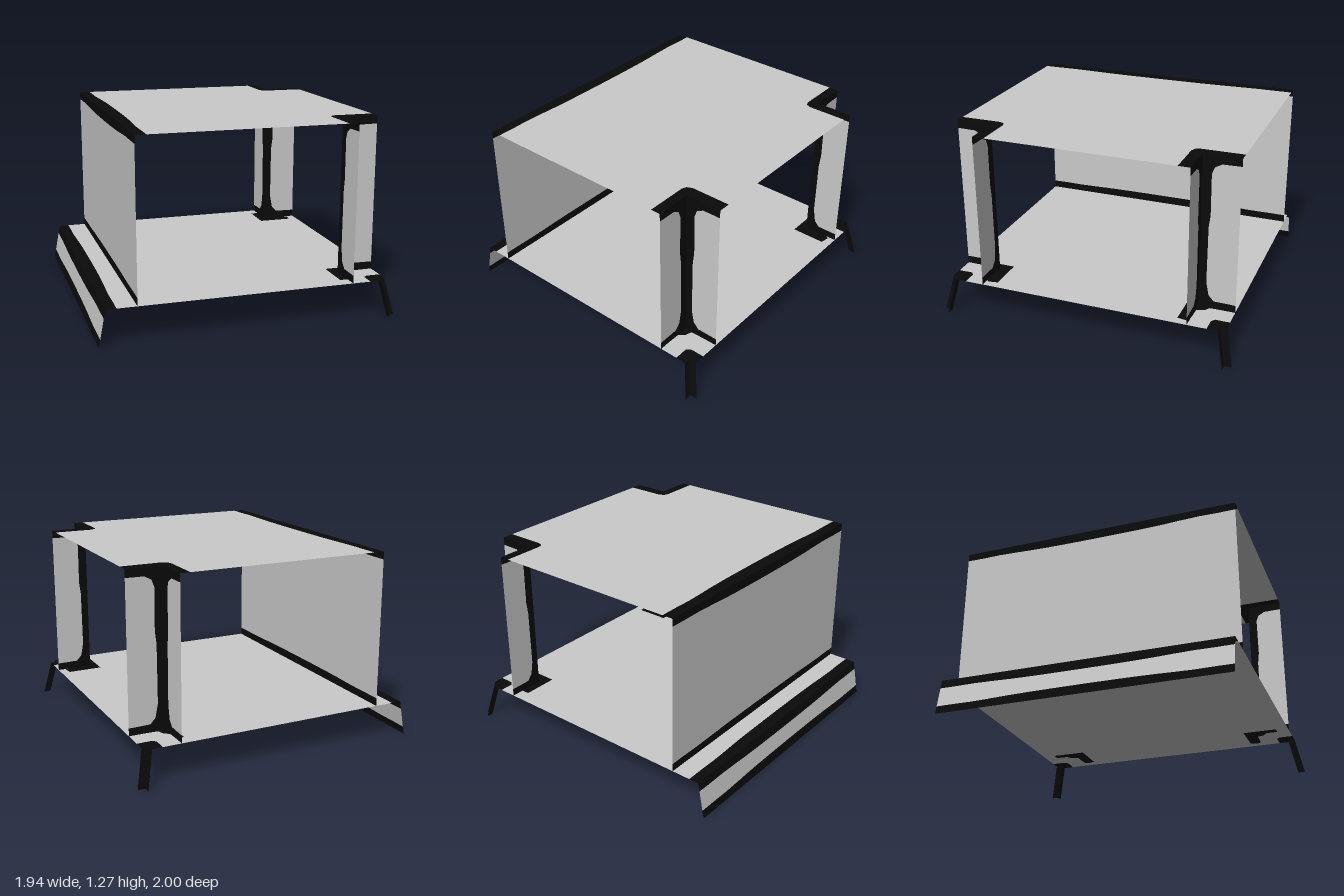
import * as THREE from 'three';

const grey = new THREE.MeshStandardMaterial({ name: 'light grey', color: 0xcacaca, side: THREE.DoubleSide });
const black = new THREE.MeshStandardMaterial({ name: 'black', color: 0x0a0a0a, side: THREE.DoubleSide });

// Main dimensions
const Z = 0.945, FLOOR = 0.24, ROOF = 1.275;
const WALL = -0.73, LEDGE = -0.925, SIDE = 0.92;
const POST_X = 0.678, POST_Z = 0.703;

const vec = (pts) => pts.map(([u, v]) => new THREE.Vector2(u, v));

// Thin flat sheet: a 2D outline (with holes) placed in space by the rule place(u, v)
function sheet(parent, name, mat, place, outline, holes = []) {
  const shape = new THREE.Shape(vec(outline));
  holes.forEach((h) => shape.holes.push(new THREE.Path(vec(h))));
  const geo = new THREE.ShapeGeometry(shape);
  const pos = geo.attributes.position;
  for (let i = 0; i < pos.count; i++) pos.setXYZ(i, ...place(pos.getX(i), pos.getY(i)));
  geo.computeVertexNormals();
  const mesh = new THREE.Mesh(geo, mat);
  mesh.name = name;
  parent.add(mesh);
}

// Slightly wavy line running along z, bulging by amp in the middle
function wavy(base, amp) {
  const pts = [];
  for (let i = 0; i <= 16; i++) {
    const t = i / 8 - 1;
    pts.push([base + amp * (Math.cos(t * Math.PI) * 0.5 + 0.5 + 0.15 * Math.sin(t * t * 9)), t * Z]);
  }
  return pts;
}

const flipZ = (pts) => pts.map(([x, z]) => [x, -z]);
const group = (parent, name) => {
  const g = new THREE.Group();
  g.name = name;
  parent.add(g);
  return g;
};

// Long panel along z with dark bands along its lower and upper edges
function bandedPanel(parent, name, place, lo, hi, loEdge, hiEdge) {
  const g = group(parent, name);
  sheet(g, name + 'Face', grey, place, [...loEdge, ...[...hiEdge].reverse()]);
  sheet(g, name + 'LowerBand', black, place, [[lo, -Z], [lo, Z], ...[...loEdge].reverse()]);
  sheet(g, name + 'UpperBand', black, place, [[hi, -Z], [hi, Z], ...[...hiEdge].reverse()]);
}

export function createModel() {
  const model = new THREE.Group();
  model.name = 'openBox';
  const atFloor = (x, z) => [x, FLOOR, z];
  const atRoof = (x, z) => [x, ROOF, z];

  // Floor sheet with dark ledge edge, post footprints and dark leg corners
  const floor = group(model, 'floor');
  const footprint = [
    [0.625, 0.625], [0.86, 0.625], [0.87, 0.69], [0.85, POST_Z], [0.73, POST_Z + 0.004],
    [0.715, 0.755], [0.68, 0.78], [POST_X, 0.86], [0.625, 0.86],
  ];
  const cornerIn = [[0.8, Z], [0.8, 0.85], [0.825, 0.83], [SIDE, 0.83]];
  const cornerPatch = [...cornerIn, [SIDE, 0.9], [0.87, 0.9], [0.87, Z]];
  const ledgeEdge = wavy(-0.858, 0.012);
  sheet(floor, 'floorFace', grey, atFloor,
    [...ledgeEdge, ...cornerIn, ...flipZ([...cornerIn].reverse())],
    [footprint, flipZ(footprint)]);
  sheet(floor, 'floorEdgeBand', black, atFloor,
    [[LEDGE, -Z], [LEDGE, Z], ...[...ledgeEdge].reverse()]);

  // Roof sheet with two notched corners and a dark band over the wall
  const roof = group(model, 'roof');
  const notchIn = [[0.613, Z], [0.613, 0.67], [0.625, 0.64], [0.66, 0.625], [SIDE, 0.625]];
  const notchBand = [...notchIn, [SIDE, POST_Z], [POST_X, POST_Z], [POST_X, Z]];
  const roofEdge = wavy(-0.66, 0.018);
  sheet(roof, 'roofFace', grey, atRoof,
    [...roofEdge, ...notchIn, ...flipZ([...notchIn].reverse())]);
  sheet(roof, 'roofEdgeBand', black, atRoof,
    [[WALL, -Z], [WALL, Z], ...[...roofEdge].reverse()]);

  // Upright wall and the flared skirt below the ledge
  bandedPanel(model, 'wall', (y, z) => [WALL, y, z], FLOOR, ROOF,
    wavy(0.292, 0.008), wavy(1.225, -0.015));
  bandedPanel(model, 'skirt', (y, z) => [LEDGE - 0.045 * (1 - y / FLOOR), y, z], 0, FLOOR,
    wavy(0.052, 0.012), wavy(0.185, -0.012));

  for (const s of [1, -1]) {
    const side = s > 0 ? 'Front' : 'Back';
    const mirror = (place) => (u, v) => {
      const [x, y, z] = place(u, v);
      return [x, y, s * z];
    };

    // Dark trim on floor and roof corners
    sheet(floor, 'legCorner' + side, black, mirror(atFloor), cornerPatch);
    sheet(floor, 'postFootprint' + side, black, mirror(atFloor), footprint);
    sheet(roof, 'notchBand' + side, black, mirror(atRoof), notchBand);

    // Angled post: two upright plates meeting at the inner corner of the notch
    const post = group(model, 'post' + side);
    const plates = [
      ['postFrontPlate', SIDE - POST_X, (u, y) => [POST_X + u, y, POST_Z]],
      ['postSidePlate', Z - POST_Z, (u, y) => [POST_X, y, POST_Z + u]],
    ];
    for (const [name, w, place] of plates) {
      const edge = [
        [w, 0.29], [0.1, 0.292], [0.065, 0.33], [0.048, 0.42], [0.05, 0.8],
        [0.06, 0.88], [0.058, 1.15], [0.075, 1.195], [0.12, 1.22], [w, 1.222],
      ];
      sheet(post, name, grey, mirror(place), edge);
      sheet(post, name + 'Band', black, mirror(place),
        [[w, FLOOR], ...edge, [w, ROOF], [0, ROOF], [0, FLOOR]]);
    }

    // Splayed leg: two slanted plates forming an angle
    const leg = group(model, 'leg' + side);
    const splay = (y) => 0.05 * (1 - y / FLOOR);
    const rect = [[0, 0], [0.048, 0], [0.048, FLOOR], [0, FLOOR]];
    sheet(leg, 'legFrontPlate', black,
      mirror((u, y) => [0.87 + u + splay(y), y, 0.9 + splay(y)]), rect);
    sheet(leg, 'legSidePlate', black,
      mirror((u, y) => [0.87 + splay(y), y, 0.9 + u + splay(y)]), rect);
  }
  return model;
}
